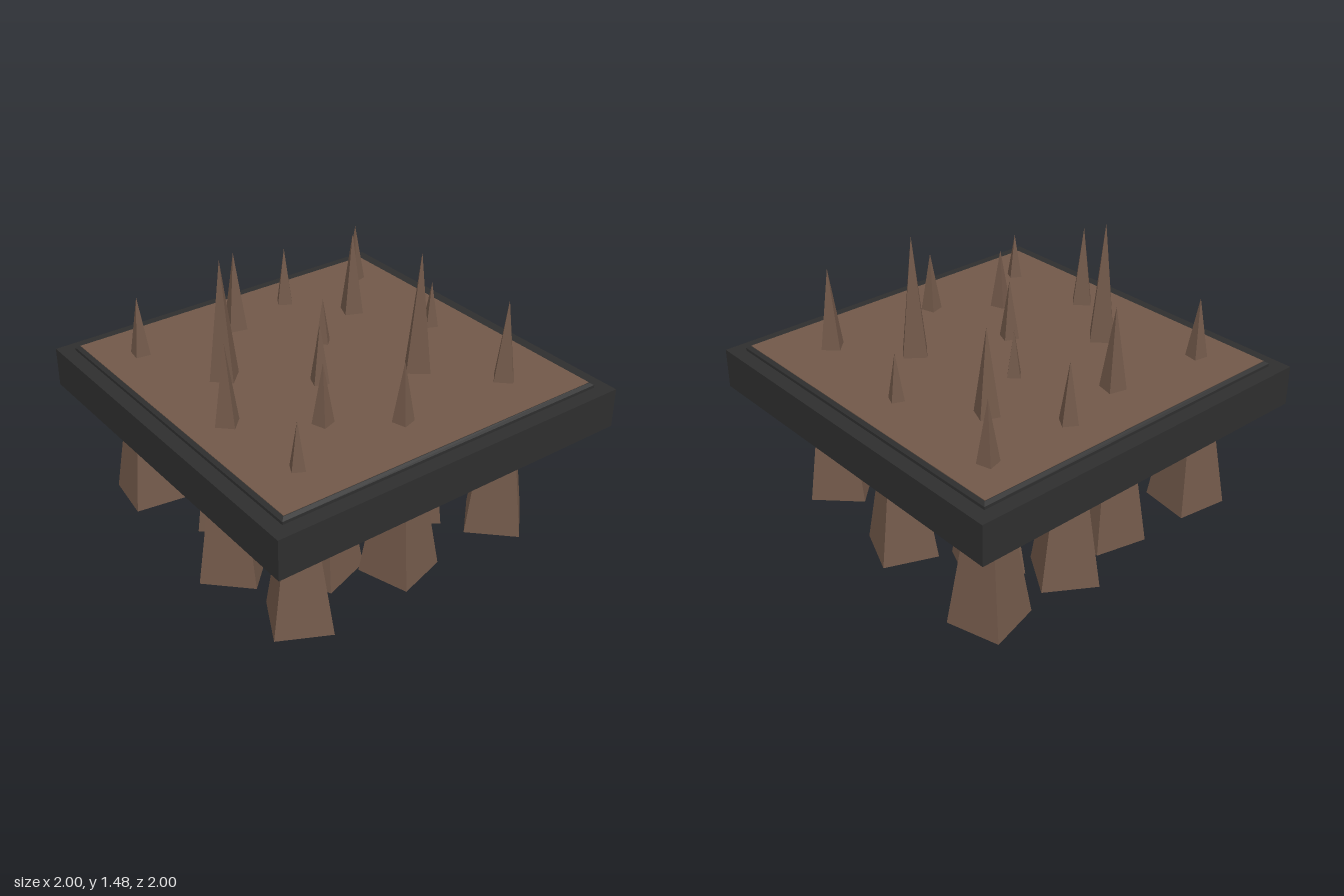
import * as THREE from 'three';

export function createModel() {
  const model = new THREE.Group();
  model.name = 'spikeTrap';

  const brown = new THREE.MeshStandardMaterial({ color: 0x715849, flatShading: true });
  brown.name = 'earthBrown';
  const dark = new THREE.MeshStandardMaterial({ color: 0x2e2e2e, flatShading: true });
  dark.name = 'charcoal';

  const add = (name, geometry, material, x, y, z, parent = model) => {
    const mesh = new THREE.Mesh(geometry, material);
    mesh.name = name;
    mesh.position.set(x, y, z);
    parent.add(mesh);
    return mesh;
  };

  // Square prism whose top may be narrower than its bottom
  const taperedSlab = (bottom, top, height) =>
    new THREE.CylinderGeometry(top * Math.SQRT2, bottom * Math.SQRT2, height, 4).rotateY(Math.PI / 4);

  // Base slab, raised rim with chamfered edge, and the inset floor
  add('baseSlab', new THREE.BoxGeometry(2, 0.21, 2), dark, 0, 0.72, 0);
  add('rim', taperedSlab(0.925, 0.925, 0.015), dark, 0, 0.8325, 0);
  add('rimChamfer', taperedSlab(0.925, 0.908, 0.011), dark, 0, 0.8455, 0);
  add('floorPanel', new THREE.BoxGeometry(1.81, 0.006, 1.81), brown, 0, 0.851, 0);

  // Four-sided spikes passing through the slab: x, z, tip height, corner angle in degrees
  const spikes = new THREE.Group();
  spikes.name = 'spikes';
  model.add(spikes);
  [
    [-0.70, -0.71, 1.17, 29],
    [-0.01, -0.68, 1.10, -23],
    [0.63, -0.60, 1.28, 0],
    [-0.39, -0.45, 1.30, -23],
    [0.30, -0.33, 1.48, -8],
    [-0.69, -0.22, 1.17, -13],
    [-0.20, -0.115, 1.10, 0],
    [0.64, 0.045, 1.17, 28],
    [0.117, 0.137, 1.17, -24],
    [-0.60, 0.157, 1.28, -32],
    [0.43, 0.35, 1.17, 26],
    [-0.20, 0.485, 1.48, 0],
    [0.168, 0.705, 1.28, 0],
    [-0.65, 0.697, 1.17, -37],
    [0.663, 0.66, 1.10, -18],
  ].forEach(([x, z, tip, angle], i) => {
    const foot = tip > 1.4 ? 0 : 0.006;
    const height = tip - foot;
    const spike = add(`spike${i + 1}`, new THREE.ConeGeometry(0.2, height, 4), brown,
      x, foot + height / 2, z, spikes);
    spike.rotation.y = -THREE.MathUtils.degToRad(angle);
  });

  return model;
}
